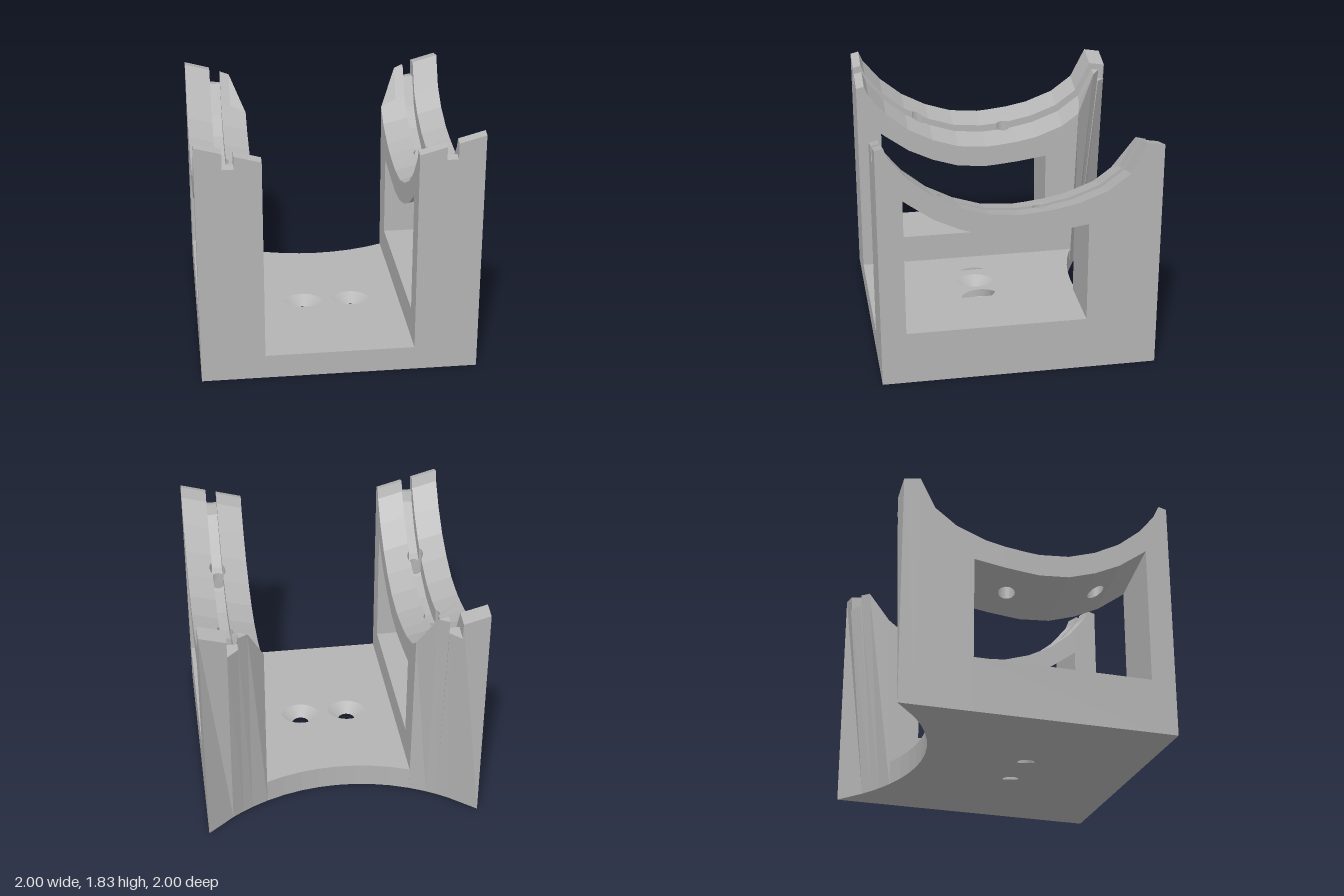
import * as THREE from 'three';
import { mergeGeometries } from 'three/addons/utils/BufferGeometryUtils.js';

// Height of the saddle and of the window's arched top at the outer face, as [z, y]
const SADDLE = [[-1, 1.72], [-0.88, 1.74], [-0.77, 1.52], [-0.61, 1.4], [-0.4, 1.32], [-0.2, 1.28], [0, 1.265],
  [0.22, 1.285], [0.42, 1.35], [0.61, 1.45], [0.78, 1.59], [0.91, 1.75], [0.94, 1.825], [1, 1.81]];
const ARCH = [[-0.48, 1.155], [-0.2, 1.115], [0, 1.1], [0.23, 1.12], [0.44, 1.19], [0.64, 1.29], [0.82, 1.43]];
// Rear edge of the posts at their top, as [x, z]
const REAR_TOP = [[0.54, -0.74], [0.66, -0.88], [0.81, -1], [1, -1]];

const BANDS = [1, 0.94, 0.91, 0.82, 0.78, 0.61, 0.42, 0.22, 0, -0.1, -0.25, -0.4, -0.48, -0.61, -0.77, -0.88, -1];
const STRIPS = [0.54, 0.66, 0.73, 0.81, 1];
const HOLES = [0.505, -0.175];
const HOLE_R = 0.06, GROOVE_X = 0.77, SILL = 0.4, FLOOR = 0.18;
const WINDOW = [-0.48, 0.82];

function interpolate(points, v) {
  let i = 1;
  while (i < points.length - 1 && v > points[i][0]) i++;
  const [a, b] = [points[i - 1], points[i]];
  return a[1] + (b[1] - a[1]) * THREE.MathUtils.clamp((v - a[0]) / (b[0] - a[0]), 0, 1);
}

const slope = (x) => 0.275 * (Math.abs(x) - 1);
const saddle = (x, z) => interpolate(SADDLE, z) + slope(x);
const groove = (x, z) => saddle(GROOVE_X, z) - 0.105;
const arch = (x, z) => interpolate(ARCH, z) + slope(x);
const rearArc = (x) => -1.975 + Math.sqrt(1.39 * 1.39 - x * x);

// Upright block over a plan outline of [x, z] points, with bottom and top heights given by rules
function slab(outline, bottom, top, rear, holes = []) {
  const shape = new THREE.Shape(outline.map(([x, z]) => new THREE.Vector2(x, -z)));
  for (const [x, z, r] of holes) {
    shape.holes.push(new THREE.Path().absarc(x, -z, r, 0, Math.PI * 2, true));
  }
  const geo = new THREE.ExtrudeGeometry(shape, { depth: 1, bevelEnabled: false, curveSegments: 20 });
  geo.rotateX(-Math.PI / 2);
  const p = geo.attributes.position;
  for (let i = 0; i < p.count; i++) {
    const x = p.getX(i), t = Math.round(p.getY(i));
    let z = p.getZ(i);
    if (rear) z = Math.max(z, rear(x, t));
    p.setXYZ(i, x, t ? top(x, z) : bottom(x, z), z);
  }
  geo.computeVertexNormals();
  return geo;
}

// Points on a bolt hole's rim
function rim(z, from, to) {
  const pts = [];
  for (let i = 0; i <= 8; i++) {
    const a = from + (to - from) * i / 8;
    pts.push([GROOVE_X + HOLE_R * Math.cos(a), z + HOLE_R * Math.sin(a)]);
  }
  return pts;
}

// Plan outlines of one cell, cut around a bolt hole where there is one
function cellOutlines(strip, x0, x1, z0, z1) {
  const hole = HOLES.find((h) => h < z0 && h > z1);
  const A = Math.acos(0.04 / HOLE_R), PI = Math.PI;
  if (hole === undefined || strip === 0) return [[[x0, z0], [x1, z0], [x1, z1], [x0, z1]]];
  if (strip === 1) return [[[x1, z1], [x0, z1], [x0, z0], [x1, z0], ...rim(hole, PI - A, PI + A)]];
  if (strip === 3) return [[[x0, z0], [x1, z0], [x1, z1], [x0, z1], ...rim(hole, -A, A)]];
  return [
    [[x0, z0], [x1, z0], ...rim(hole, A, PI - A)],
    [[x1, z1], [x0, z1], ...rim(hole, PI + A, 2 * PI - A)],
  ];
}

// Side wall with window, sloping saddle, groove and bolt holes
function sideWall(side) {
  const parts = [];
  const mirror = (pts) => pts.map(([x, z]) => [x * side, z]);
  const rear = (x, t) => (t ? interpolate(REAR_TOP, Math.abs(x)) : rearArc(x));
  for (let b = 0; b < BANDS.length - 1; b++) {
    const z0 = BANDS[b], z1 = BANDS[b + 1];
    const overWindow = z0 <= WINDOW[1] && z1 >= WINDOW[0];
    for (let s = 0; s < STRIPS.length - 1; s++) {
      for (const outline of cellOutlines(s, STRIPS[s], STRIPS[s + 1], z0, z1)) {
        parts.push(slab(mirror(outline), overWindow ? arch : () => 0, s === 2 ? groove : saddle, rear));
      }
    }
  }
  // Solid wall below the window
  const [zb, zf] = WINDOW;
  parts.push(slab(mirror([[0.54, zf], [1, zf], [1, zb], [0.54, zb]]), () => 0, () => SILL));
  return mergeGeometries(parts);
}

// Floor plate with hollow rear edge and two recessed screw holes
function floorPlate() {
  const outline = [[0.54, 1], [-0.54, 1]];
  for (let i = 0; i <= 8; i++) {
    const x = -0.54 + 1.08 * i / 8;
    outline.push([x, rearArc(x)]);
  }
  const screws = (r) => [-0.185, 0.185].map((x) => [x, 0.15, r]);
  const step = 0.06;
  return mergeGeometries([
    slab(outline, () => 0, () => step, null, screws(0.065)),
    slab(outline, () => step, () => FLOOR, null, screws(0.16)),
  ]);
}

export function createModel() {
  const grey = new THREE.MeshStandardMaterial({ color: 0xb4b4b4 });
  grey.name = 'grey';
  const model = new THREE.Group();
  model.name = 'cradleStand';
  const add = (name, geo) => {
    const mesh = new THREE.Mesh(geo, grey);
    mesh.name = name;
    model.add(mesh);
    return mesh;
  };

  add('leftWall', sideWall(1));
  add('rightWall', sideWall(-1));
  add('floorPlate', floorPlate());

  // Conical seats inside the screw holes
  for (const x of [-0.185, 0.185]) {
    const profile = [new THREE.Vector2(0.16, 0.12), new THREE.Vector2(0.065, 0.06)];
    add('screwSeat', new THREE.LatheGeometry(profile, 40)).position.set(x, 0, 0.15);
  }
  return model;
}
